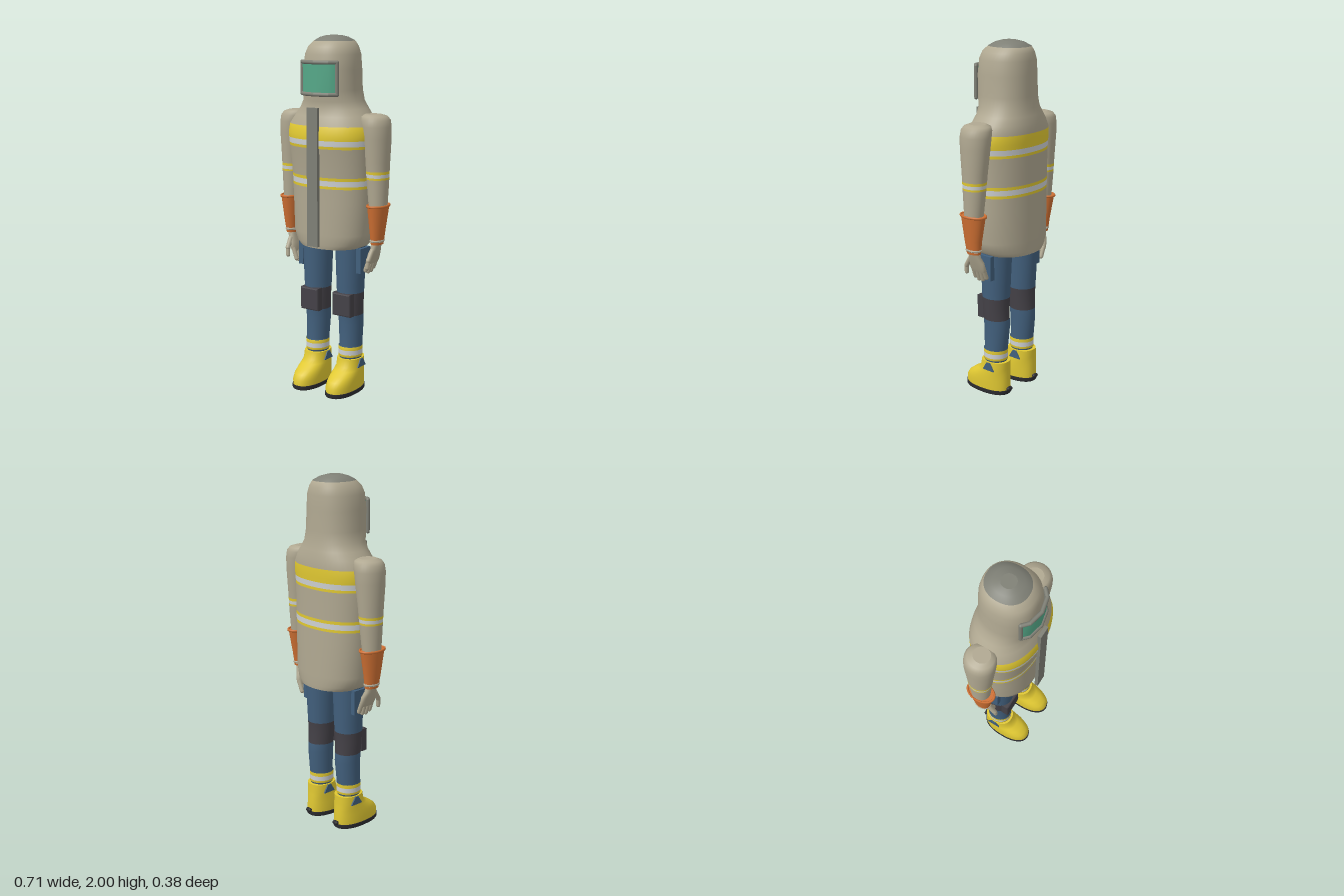
import * as THREE from 'three';

const mat = (name, color, side = THREE.FrontSide) => {
  const m = new THREE.MeshStandardMaterial({ color, side });
  m.name = name;
  return m;
};

// Stacked oval cross-sections, rows of [y, centreX, halfWidth, zFront, zBack] from bottom to top.
// Bands [y0, y1, material] colour a height range; p shapes the oval (2 = ellipse).
function loft(name, rows, base, bands = [], p = 2, seg = 32) {
  const at = (y) => {
    let i = 0;
    while (i < rows.length - 2 && rows[i + 1][0] < y) i++;
    const a = rows[i], b = rows[i + 1], t = (y - a[0]) / (b[0] - a[0]);
    return a.map((v, k) => v + (b[k] - v) * t);
  };
  const ys = [...new Set([...rows.map((r) => r[0]), ...bands.flatMap((b) => [b[0], b[1]])])].sort((a, b) => a - b);
  const mats = [...new Set([base, ...bands.map((b) => b[2])])];
  const pos = [], idx = [], geo = new THREE.BufferGeometry();
  const addRing = ([y, cx, hw, zf, zb]) => {
    const start = pos.length / 3;
    for (let i = 0; i < seg; i++) {
      const a = (i / seg) * Math.PI * 2, c = Math.cos(a), s = Math.sin(a);
      const x = Math.sign(c) * Math.abs(c) ** (2 / p), z = Math.sign(s) * Math.abs(s) ** (2 / p);
      pos.push(cx + x * hw, y, (zf + zb) / 2 + (z * (zf - zb)) / 2);
    }
    return start;
  };
  const rings = ys.map((y) => addRing(at(y)));
  for (let r = 0; r < ys.length - 1; r++) {
    const mid = (ys[r] + ys[r + 1]) / 2;
    const band = bands.find((b) => mid > b[0] && mid < b[1]);
    geo.addGroup(idx.length, seg * 6, mats.indexOf(band ? band[2] : base));
    for (let i = 0; i < seg; i++) {
      const j = (i + 1) % seg, A = rings[r] + i, B = rings[r] + j, C = rings[r + 1] + i, D = rings[r + 1] + j;
      idx.push(A, C, B, B, C, D);
    }
  }
  // End caps
  [0, ys.length - 1].forEach((r) => {
    const row = at(ys[r]), s = addRing(row), centre = pos.length / 3;
    pos.push(row[1], row[0], (row[3] + row[4]) / 2);
    const mid = r ? (ys[r] + ys[r - 1]) / 2 : (ys[0] + ys[1]) / 2;
    const band = bands.find((b) => mid > b[0] && mid < b[1]);
    geo.addGroup(idx.length, seg * 3, mats.indexOf(band ? band[2] : base));
    for (let i = 0; i < seg; i++) {
      const A = s + i, B = s + ((i + 1) % seg);
      if (r) idx.push(centre, B, A);
      else idx.push(centre, A, B);
    }
  });
  geo.setAttribute('position', new THREE.Float32BufferAttribute(pos, 3));
  geo.setIndex(idx);
  geo.computeVertexNormals();
  const mesh = new THREE.Mesh(geo, mats);
  mesh.name = name;
  return mesh;
}

// Rounded bar between two points
function bar(name, a, b, r, m) {
  const A = new THREE.Vector3(...a), B = new THREE.Vector3(...b), d = B.clone().sub(A);
  const mesh = new THREE.Mesh(new THREE.CapsuleGeometry(r, d.length(), 5, 12), m);
  mesh.position.copy(A).add(B).multiplyScalar(0.5);
  mesh.quaternion.setFromUnitVectors(new THREE.Vector3(0, 1, 0), d.normalize());
  mesh.name = name;
  return mesh;
}

function place(name, geo, m, x, y, z) {
  const mesh = new THREE.Mesh(geo, m);
  mesh.position.set(x, y, z);
  mesh.name = name;
  return mesh;
}

export function createModel() {
  const cloth = mat('beige cloth', 0xb0a891), grey = mat('grey trim', 0x7f8076);
  const yellow = mat('yellow', 0xe0c832), silver = mat('reflective silver', 0xcdd0d2);
  const orange = mat('orange glove', 0xcf7033), blue = mat('blue trousers', 0x42607d);
  const charcoal = mat('charcoal pad', 0x444147), black = mat('black sole', 0x2c2c30);
  const glass = mat('green glass', 0x55a888, THREE.DoubleSide);
  const model = new THREE.Group();
  model.name = 'protective suit figure';
  const stripe = (y0, y1, y2, y3) => [[y0, y1, yellow], [y1, y2, silver], [y2, y3, yellow]];

  // Coat and hood in one piece, with reflective bands and a grey crown
  model.add(loft('coatAndHood', [
    [0.84, 0, 0.19, 0.15, -0.188], [0.865, 0, 0.217, 0.155, -0.19], [0.92, 0, 0.235, 0.157, -0.19],
    [1.1, 0, 0.242, 0.156, -0.187], [1.22, 0, 0.246, 0.158, -0.185], [1.32, 0, 0.25, 0.168, -0.185],
    [1.42, 0, 0.257, 0.183, -0.186], [1.47, 0, 0.262, 0.184, -0.188], [1.52, 0, 0.256, 0.175, -0.19],
    [1.57, 0, 0.225, 0.15, -0.185], [1.61, 0, 0.195, 0.137, -0.176], [1.65, 0, 0.17, 0.138, -0.167],
    [1.71, 0, 0.159, 0.148, -0.162], [1.82, 0, 0.155, 0.153, -0.161], [1.9, 0, 0.147, 0.146, -0.158],
    [1.94, 0, 0.131, 0.13, -0.151], [1.97, 0, 0.107, 0.098, -0.137], [1.99, 0, 0.075, 0.06, -0.095],
    [2, 0, 0.04, 0.025, -0.055],
  ], cloth, [...stripe(1.18, 1.195, 1.225, 1.242), ...stripe(1.4, 1.415, 1.445, 1.52), [1.97, 2, grey]], 2.2, 48));

  // Front closure strip
  model.add(place('frontStrip', new THREE.BoxGeometry(0.07, 0.76, 0.02), grey, 0, 1.24, 0.184));

  // Visor: bent pane and rounded frame
  const bend = [[-0.114, 0.122], [-0.08, 0.153], [0, 0.171], [0.08, 0.153], [0.114, 0.122]];
  const pane = new THREE.PlaneGeometry(1, 0.17, bend.length - 1, 1);
  for (let i = 0; i < pane.attributes.position.count; i++) {
    const [x, z] = bend[i % bend.length];
    pane.attributes.position.setX(i, x).setZ(i, z);
  }
  pane.computeVertexNormals();
  model.add(place('visorGlass', pane, glass, 0, 1.775, 0));
  const frame = new THREE.Group();
  frame.name = 'visorFrame';
  for (const y of [1.69, 1.86])
    for (let i = 0; i < 4; i++)
      frame.add(bar('frameRail', [bend[i][0], y, bend[i][1]], [bend[i + 1][0], y, bend[i + 1][1]], 0.011, grey));
  for (const i of [0, 4])
    frame.add(bar('framePost', [bend[i][0], 1.69, bend[i][1]], [bend[i][0], 1.86, bend[i][1]], 0.011, grey));
  model.add(frame);

  for (const s of [1, -1]) {
    const side = s > 0 ? 'left' : 'right';
    // Sleeve
    const arm = new THREE.Group();
    arm.name = side + 'Arm';
    arm.add(loft('sleeve', [
      [1.05, s * 0.292, 0.048, 0.035, -0.068], [1.2, s * 0.288, 0.058, 0.045, -0.083],
      [1.33, s * 0.284, 0.066, 0.054, -0.093], [1.46, s * 0.279, 0.076, 0.066, -0.105],
      [1.52, s * 0.274, 0.08, 0.069, -0.108], [1.555, s * 0.268, 0.08, 0.066, -0.106],
      [1.575, s * 0.262, 0.07, 0.054, -0.094], [1.585, s * 0.257, 0.045, 0.03, -0.065],
    ], cloth, stripe(1.235, 1.246, 1.265, 1.28)));
    // Gauntlet with flared rim and wrist strap
    arm.add(loft('gauntlet', [
      [0.875, s * 0.29, 0.031, 0.03, -0.057], [0.95, s * 0.292, 0.039, 0.042, -0.066],
      [1.09, s * 0.294, 0.053, 0.062, -0.092],
    ], orange, [[0.888, 0.902, silver]]));
    const rim = place('gauntletRim', new THREE.TorusGeometry(1, 0.09, 8, 32), orange, s * 0.294, 1.09, -0.015);
    rim.rotation.x = Math.PI / 2;
    rim.scale.set(0.053, 0.079, 0.08);
    arm.add(rim);
    const strap = place('wristStrap', new THREE.TorusGeometry(1, 0.14, 8, 28), cloth, s * 0.29, 0.895, -0.013);
    strap.rotation.x = Math.PI / 2;
    strap.scale.set(0.033, 0.045, 0.04);
    arm.add(strap);
    // Hand
    arm.add(loft('palm', [
      [0.765, s * 0.258, 0.014, 0.03, -0.066], [0.785, s * 0.262, 0.019, 0.036, -0.07],
      [0.82, s * 0.27, 0.022, 0.036, -0.066], [0.85, s * 0.281, 0.022, 0.026, -0.052],
      [0.89, s * 0.289, 0.023, 0.02, -0.045],
    ], cloth, [], 2.4, 20));
    [[0.022, 0.725], [-0.005, 0.714], [-0.031, 0.716], [-0.056, 0.73]].forEach(([z, tip]) =>
      arm.add(bar('finger', [s * 0.26, 0.785, z], [s * 0.238, tip, z], 0.0125, cloth)));
    arm.add(bar('thumbBase', [s * 0.28, 0.84, 0.022], [s * 0.276, 0.79, 0.054], 0.014, cloth));
    arm.add(bar('thumbTip', [s * 0.276, 0.79, 0.054], [s * 0.272, 0.75, 0.058], 0.012, cloth));
    model.add(arm);

    // Trouser leg with knee wrap and ankle bands
    const leg = new THREE.Group();
    leg.name = side + 'Leg';
    leg.add(loft('trouserLeg', [
      [0.17, s * 0.115, 0.06, 0.048, -0.08], [0.2, s * 0.115, 0.062, 0.05, -0.084],
      [0.205, s * 0.115, 0.067, 0.056, -0.088], [0.265, s * 0.115, 0.067, 0.056, -0.088],
      [0.27, s * 0.115, 0.063, 0.05, -0.088], [0.4, s * 0.113, 0.068, 0.052, -0.1],
      [0.52, s * 0.113, 0.073, 0.062, -0.094], [0.62, s * 0.112, 0.077, 0.066, -0.1],
      [0.87, s * 0.113, 0.086, 0.076, -0.112],
    ], blue, [...stripe(0.205, 0.218, 0.245, 0.265), [0.45, 0.58, charcoal]]));
    const pad = new THREE.Shape();
    pad.moveTo(-0.052, -0.058).lineTo(0.052, -0.058).lineTo(0.052, 0.058).lineTo(-0.052, 0.058);
    leg.add(place('kneePad', new THREE.ExtrudeGeometry(pad, {
      depth: 0.035, bevelSize: 0.008, bevelThickness: 0.008, bevelSegments: 2,
    }), charcoal, s * 0.11, 0.516, 0.034));
    leg.add(place('thighPocket', new THREE.BoxGeometry(0.03, 0.14, 0.1), blue, s * 0.197, 0.772, -0.015));
    // Boot, sole and heel tab
    leg.add(loft('boot', [
      [0.02, s * 0.115, 0.077, 0.186, -0.108], [0.055, s * 0.115, 0.078, 0.186, -0.108],
      [0.085, s * 0.115, 0.077, 0.168, -0.106], [0.11, s * 0.115, 0.075, 0.135, -0.105],
      [0.13, s * 0.115, 0.073, 0.1, -0.103], [0.15, s * 0.115, 0.071, 0.075, -0.102],
      [0.195, s * 0.115, 0.069, 0.066, -0.101],
    ], yellow, [], 2.3));
    leg.add(loft('sole', [[0, s * 0.115, 0.077, 0.186, -0.108], [0.006, s * 0.115, 0.08, 0.19, -0.112],
      [0.025, s * 0.115, 0.08, 0.19, -0.112]], black, [], 2.3));
    leg.add(bar('heelTab', [s * 0.115 - 0.008, 0.036, -0.118], [s * 0.115 + 0.008, 0.036, -0.118], 0.012, black));
    // Triangular ankle gussets on both sides of the boot
    const tri = new THREE.Shape();
    tri.moveTo(-0.04, 0).lineTo(0.04, 0).lineTo(0.012, 0.046).lineTo(-0.012, 0.046);
    for (const k of [1, -1]) {
      const gusset = place('ankleGusset', new THREE.ExtrudeGeometry(tri, { depth: 0.009, bevelEnabled: false }),
        blue, s * 0.115 + k * 0.066, 0.145, -0.02);
      gusset.rotation.y = (k * Math.PI) / 2;
      leg.add(gusset);
    }
    model.add(leg);
  }
  return model;
}
